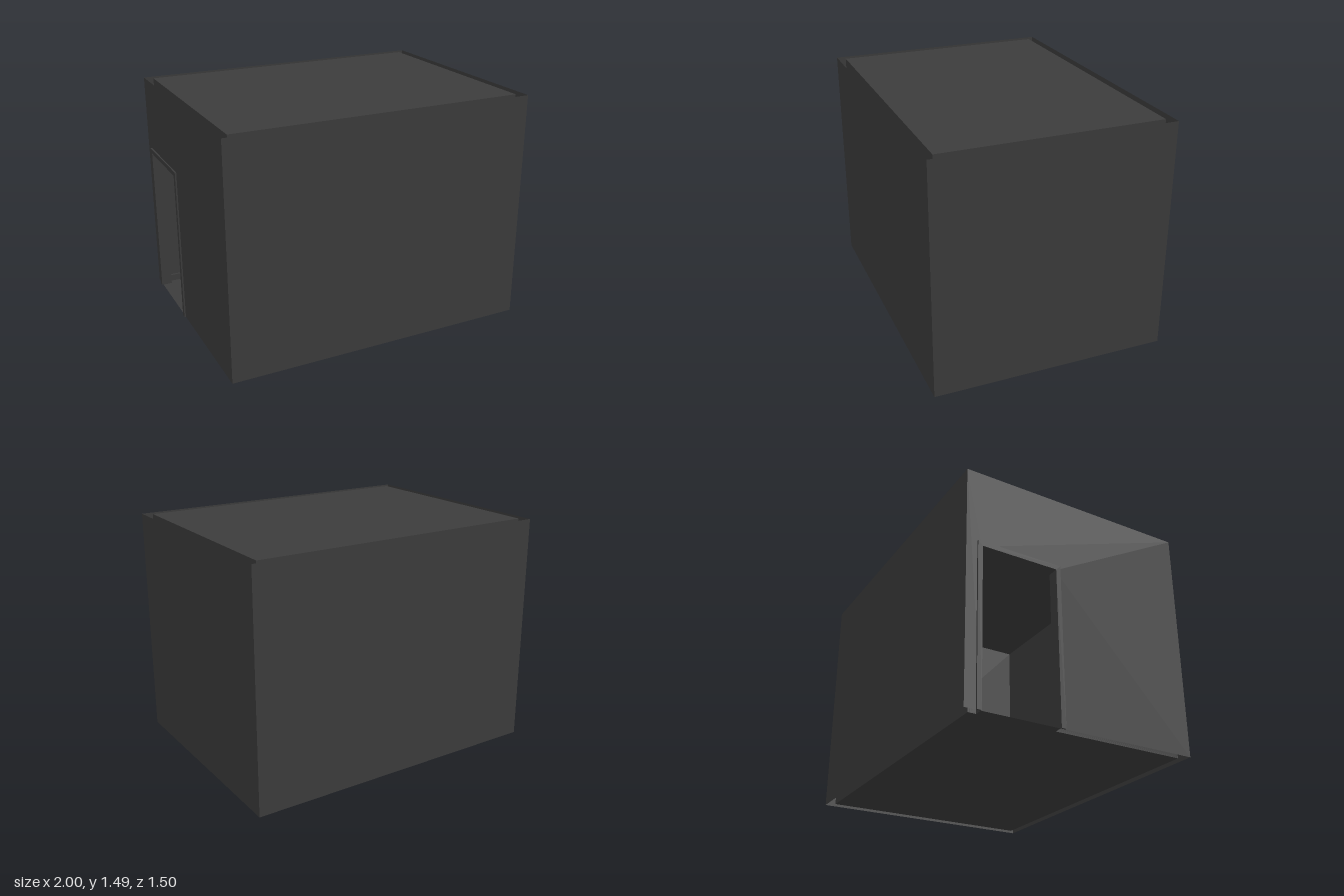
import * as THREE from 'three';

const material = new THREE.MeshStandardMaterial({ color: 0x3c3c3c, side: THREE.DoubleSide });
const H = 1.49;                                        // wall height
const OUT = { x0: -0.99, x1: 1, z: 0.75 };             // outer skin
const INN = { x0: -0.94, x1: 0.945, z: 0.7 };          // room
const DOOR = { z0: -0.65, z1: -0.16, top: 0.99 };      // opening

function createModel() {
  const room = new THREE.Group();
  room.name = 'room';

  const add = (name, geometry, x, y, z, rx = 0, ry = 0) => {
    const mesh = new THREE.Mesh(geometry, material);
    mesh.name = name;
    mesh.position.set(x, y, z);
    mesh.rotation.set(rx, ry, 0);
    room.add(mesh);
    return mesh;
  };
  const plane = (w, h) => new THREE.PlaneGeometry(w, h);
  const box = (name, x0, x1, y0, y1, z0, z1) => add(name,
    new THREE.BoxGeometry(x1 - x0, y1 - y0, z1 - z0),
    (x0 + x1) / 2, (y0 + y1) / 2, (z0 + z1) / 2);

  // Wall outline with a door notch, drawn in z (across) and y (up)
  const doorWall = (halfZ) => new THREE.ShapeGeometry(new THREE.Shape([
    [-halfZ, 0], [DOOR.z0, 0], [DOOR.z0, DOOR.top], [DOOR.z1, DOOR.top],
    [DOOR.z1, 0], [halfZ, 0], [halfZ, H], [-halfZ, H],
  ].map(([z, y]) => new THREE.Vector2(z, y))));

  // Outer and inner skins; the wall cavity is open at top and bottom.
  // flip turns the inner skin to face into the room.
  for (const [label, s, flip] of [['outer', OUT, 0], ['inner', INN, Math.PI]]) {
    const w = s.x1 - s.x0, cx = (s.x0 + s.x1) / 2;
    add(label + 'FrontWall', plane(w, H), cx, H / 2, s.z, 0, flip);
    add(label + 'BackWall', plane(w, H), cx, H / 2, -s.z, 0, Math.PI + flip);
    add(label + 'LeftWall', plane(2 * s.z, H), s.x1, H / 2, 0, 0, Math.PI / 2 + flip);
    add(label + 'DoorWall', doorWall(s.z), s.x0, 0, 0, 0, -Math.PI / 2);
  }

  // Floor and ceiling span the room only
  const w = INN.x1 - INN.x0, cx = (INN.x0 + INN.x1) / 2;
  add('floor', plane(w, 2 * INN.z), cx, 0, 0, -Math.PI / 2);
  add('ceiling', plane(w, 2 * INN.z), cx, H, 0, Math.PI / 2);

  // Lining of the door opening
  const depth = INN.x0 - OUT.x0, mx = (INN.x0 + OUT.x0) / 2;
  const doorW = DOOR.z1 - DOOR.z0, mz = (DOOR.z0 + DOOR.z1) / 2;
  add('backJamb', plane(depth, DOOR.top), mx, DOOR.top / 2, DOOR.z0);
  add('frontJamb', plane(depth, DOOR.top), mx, DOOR.top / 2, DOOR.z1, 0, Math.PI);
  add('doorHead', plane(depth, doorW), mx, DOOR.top, mz, Math.PI / 2);
  add('threshold', plane(depth, doorW), mx, 0, mz, -Math.PI / 2);

  // Door casing on both faces of the wall
  const T = 0.03;
  const casing = new THREE.Shape([
    [DOOR.z0 - T, 0], [DOOR.z0, 0], [DOOR.z0, DOOR.top], [DOOR.z1, DOOR.top],
    [DOOR.z1, 0], [DOOR.z1 + T, 0], [DOOR.z1 + T, DOOR.top + T], [DOOR.z0 - T, DOOR.top + T],
  ].map(([z, y]) => new THREE.Vector2(z, y)));
  const casingGeo = new THREE.ExtrudeGeometry(casing, { depth: 0.01, bevelEnabled: false });
  add('outerDoorCasing', casingGeo, OUT.x0, 0, 0, 0, -Math.PI / 2);
  add('innerDoorCasing', casingGeo, INN.x0 + 0.01, 0, 0, 0, -Math.PI / 2);

  // Baseboards around the room, interrupted at the door
  const b = 0.015, bh = 0.045;
  box('frontBaseboard', INN.x0, INN.x1, 0, bh, INN.z - b, INN.z);
  box('backBaseboard', INN.x0, INN.x1, 0, bh, -INN.z, -INN.z + b);
  box('leftBaseboard', INN.x1 - b, INN.x1, 0, bh, -INN.z + b, INN.z - b);
  box('doorWallBaseboard', INN.x0, INN.x0 + b, 0, bh, DOOR.z1 + T, INN.z - b);

  return room;
}

export { createModel };
